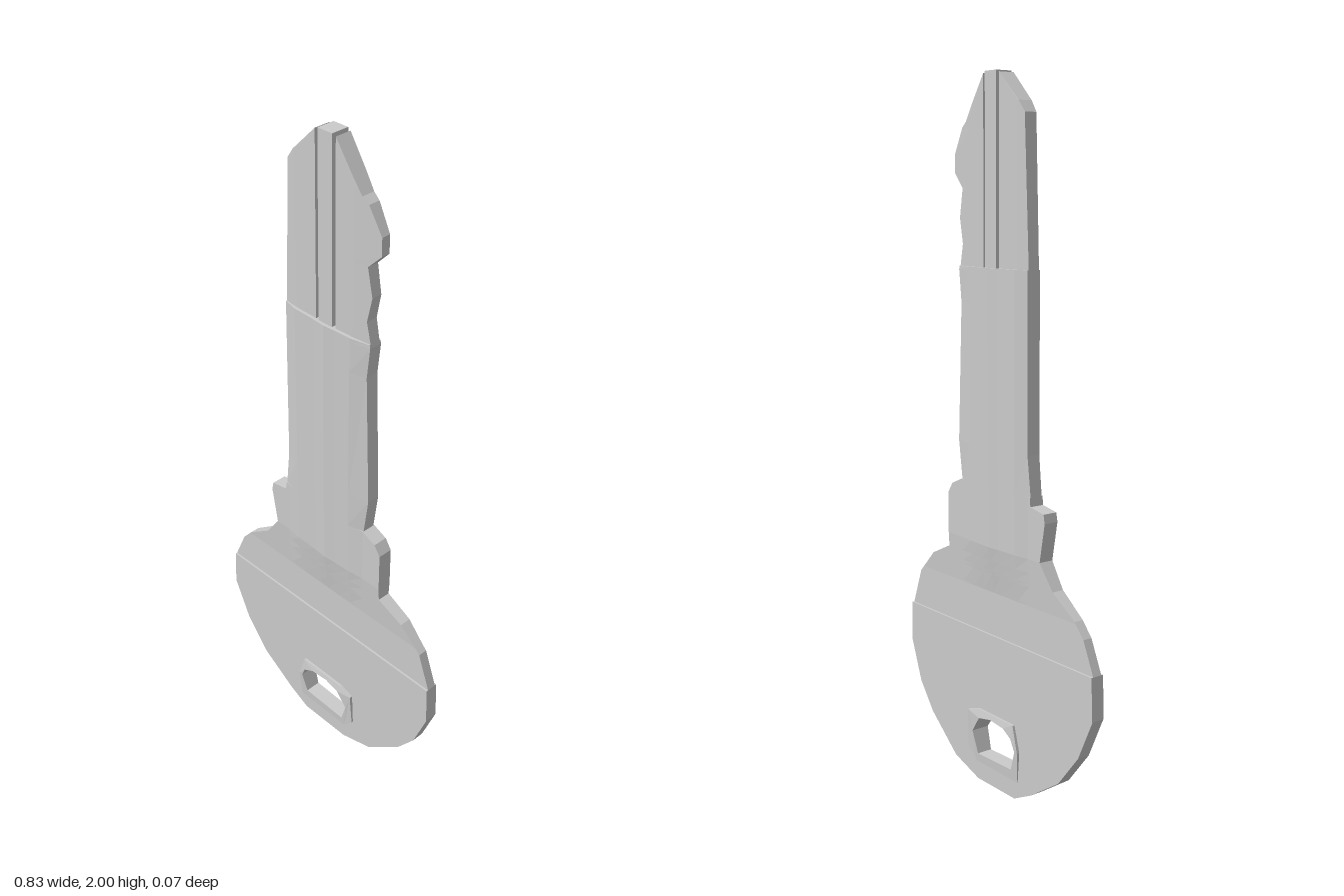
import * as THREE from 'three';

// Outline of the key as [y, x] pairs, bottom to top
const LEFT = [[0.005, -0.09], [0.04, -0.16], [0.12, -0.28], [0.22, -0.36], [0.34, -0.415], [0.46, -0.41], [0.55, -0.37],
  [0.59, -0.335], [0.65, -0.25], [0.72, -0.2], [0.83, -0.22], [0.855, -0.215], [0.865, -0.16], [1.0, -0.145],
  [1.49, -0.143], [1.89, -0.127], [1.92, -0.105], [1.995, -0.027]];
const RIGHT = [[0.005, 0.08], [0.04, 0.19], [0.14, 0.31], [0.22, 0.37], [0.34, 0.415], [0.46, 0.41], [0.57, 0.37],
  [0.64, 0.3], [0.68, 0.215], [0.84, 0.215], [0.87, 0.195], [0.89, 0.15], [1.0, 0.165], [1.39, 0.15], [1.48, 0.16],
  [1.55, 0.145], [1.62, 0.16], [1.7, 0.145], [1.74, 0.185], [1.79, 0.185], [1.86, 0.145], [1.875, 0.125], [1.995, 0.042]];

// Linear interpolation through a list of pairs
function lerpList(list, v) {
  if (v <= list[0][0]) return list[0][1];
  for (let i = 1; i < list.length; i++) {
    const [a, p] = list[i - 1], [b, q] = list[i];
    if (v <= b) return p + (q - p) * (v - a) / (b - a);
  }
  return list[list.length - 1][1];
}

export function createModel() {
  const key = new THREE.Group();
  key.name = 'key';
  const metal = new THREE.MeshStandardMaterial({ color: 0xcccccc, flatShading: true });

  function add(name, geometry) {
    geometry.computeVertexNormals();
    const mesh = new THREE.Mesh(geometry, metal);
    mesh.name = name;
    key.add(mesh);
  }

  // Plate following the outline between y0 and y1, with creases at the given x columns
  function plate(name, y0, y1, columns, halfThickness, xMin = -1, xMax = 1) {
    const inner = [...LEFT, ...RIGHT].map(p => p[0]).filter(y => y > y0 && y < y1);
    const rows = [...new Set([y0, ...inner, y1])].sort((a, b) => a - b);
    const nx = columns.length + 1, ny = rows.length - 1;
    const geometry = new THREE.BoxGeometry(1, 1, 1, nx, ny, 1);
    const pos = geometry.attributes.position;
    for (let i = 0; i < pos.count; i++) {
      const col = Math.round((pos.getX(i) + 0.5) * nx);
      const y = rows[Math.round((pos.getY(i) + 0.5) * ny)];
      const l = Math.max(lerpList(LEFT, y), xMin), r = Math.min(lerpList(RIGHT, y), xMax);
      const x = col === 0 ? l : col === nx ? r : THREE.MathUtils.clamp(columns[col - 1], l, r);
      pos.setXYZ(i, x, y, Math.sign(pos.getZ(i)) * halfThickness(x, y));
    }
    add(name, geometry);
  }

  // Extruded shape with the key-ring hole, thickness set by height
  function pierced(name, points, halfThickness) {
    const shape = new THREE.Shape(points.map(p => new THREE.Vector2(...p)));
    const hole = [[-0.1, 0.15], [-0.08, 0.09], [0.074, 0.085], [0.095, 0.15], [0.06, 0.2], [0.01, 0.21], [-0.05, 0.205], [-0.085, 0.185]];
    shape.holes.push(new THREE.Path(hole.map(p => new THREE.Vector2(...p))));
    const geometry = new THREE.ExtrudeGeometry(shape, { depth: 1, bevelEnabled: false });
    const pos = geometry.attributes.position;
    for (let i = 0; i < pos.count; i++) {
      pos.setZ(i, (pos.getZ(i) > 0.5 ? 1 : -1) * halfThickness(pos.getY(i)));
    }
    add(name, geometry);
  }

  // Lower bow and the raised surround of its hole
  const flip = list => list.filter(p => p[0] <= 0.34).map(([y, x]) => [x, y]);
  pierced('lowerBow', [...flip(RIGHT), ...flip(LEFT).reverse()], () => 0.019);
  pierced('holeSurround', [[-0.105, 0.06], [0.085, 0.06], [0.12, 0.1], [0.115, 0.21], [0.07, 0.225], [-0.09, 0.225], [-0.112, 0.15]],
    y => lerpList([[0.06, 0.022], [0.2, 0.031], [0.225, 0.026]], y));

  // Grip: thick band, then a thin recessed band
  plate('gripBand', 0.34, 0.46, [], () => 0.02);
  plate('recessedBand', 0.46, 0.585, [], () => 0.014);

  // Upper bow flaring into the shoulders
  const core = x => lerpList([[-0.15, 0], [-0.1, 0.006], [-0.03, 0.008], [0.01, 0.011], [0.05, 0.008], [0.1, 0.006], [0.15, 0]], x);
  const creases = [-0.15, -0.1, -0.03, 0.01, 0.05, 0.1, 0.15];
  plate('shoulders', 0.585, 0.89, creases, (x, y) => {
    const rise = lerpList([[0.585, 0], [0.72, 1]], y);
    return 0.014 + rise * (0.008 + core(x));
  });

  // Blade with a raised middle
  const bladeProfile = [[-0.15, 0.019], [-0.1, 0.031], [-0.03, 0.033], [0.01, 0.036], [0.05, 0.033], [0.1, 0.031], [0.15, 0.019]];
  plate('blade', 0.89, 1.49, creases.slice(1, -1), x => lerpList(bladeProfile, x));

  // Tip split into two flanks and a spine by narrow slits
  const flank = x => lerpList([[0.03, 0.024], [0.1, 0.022], [0.18, 0.013]], Math.abs(x));
  plate('leftTipFlank', 1.49, 1.995, [-0.1], flank, -1, -0.027);
  plate('rightTipFlank', 1.49, 1.995, [0.1], flank, 0.042, 1);
  const spine = new THREE.BoxGeometry(0.048, 0.51, 0.052);
  spine.translate(0.008, 1.745, 0);
  add('tipSpine', spine);

  return key;
}
